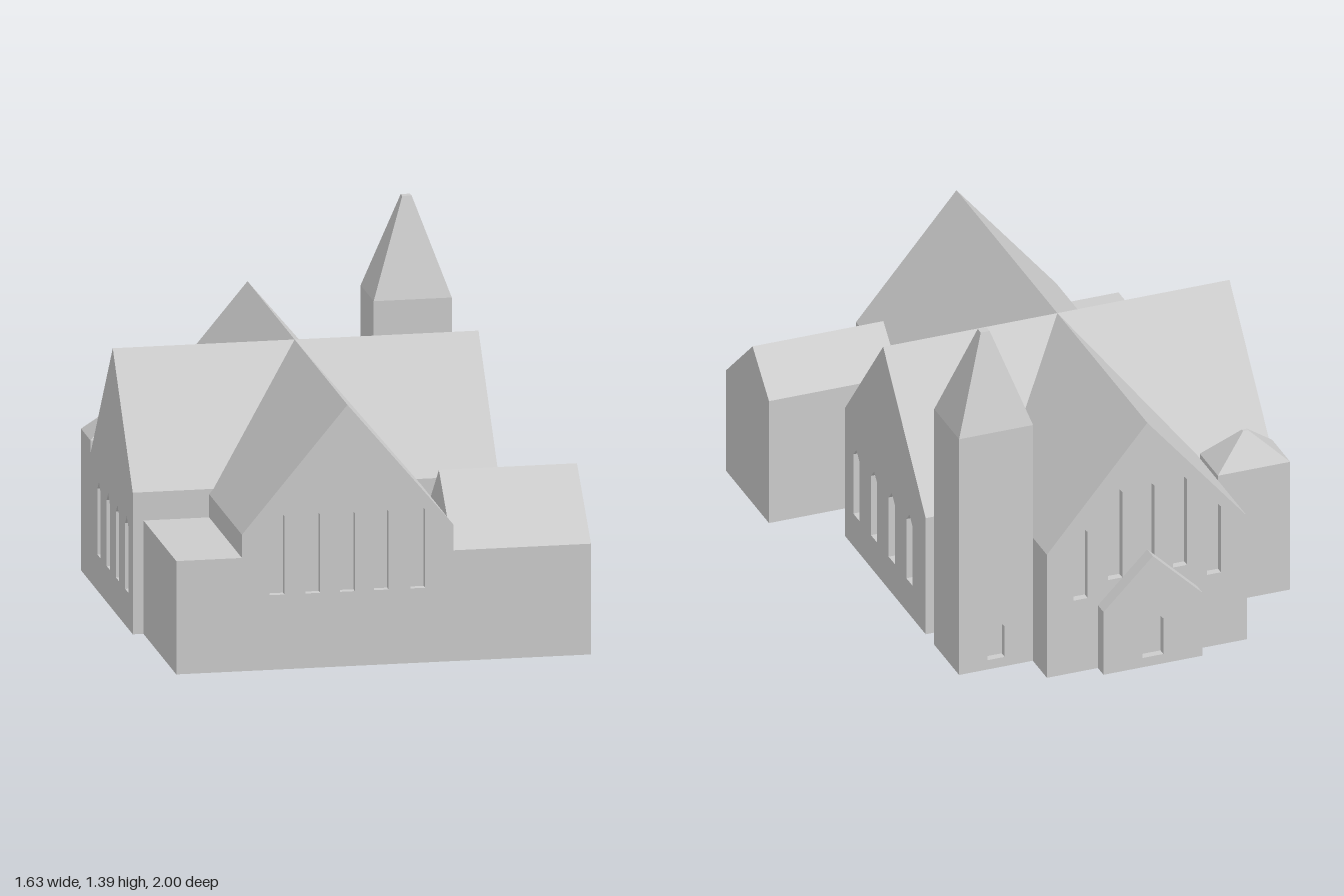
import * as THREE from 'three';

const stone = new THREE.MeshStandardMaterial({ color: 0xcccccc });
stone.name = 'pale stone';
const DEPTH = 0.03; // window recess

function add(parent, name, geometry) {
  const mesh = new THREE.Mesh(geometry, stone);
  mesh.name = name;
  parent.add(mesh);
  return mesh;
}

// Outline of a block with a pitched top
function outline([x0, eave0, ridgeX, ridgeY, x1, eave1]) {
  return [[x0, 0], [x1, 0], [x1, eave1], [ridgeX, ridgeY], [x0, eave0]]
    .map(([x, y]) => new THREE.Vector2(x, y));
}

// Pointed window opening: centre, sill, tip, width
function lancet([x, sill, tip, w]) {
  const h = w / 2, spring = tip - w * 0.55;
  return new THREE.Path([[x - h, sill], [x - h, spring], [x, tip], [x + h, spring], [x + h, sill]]
    .map(([a, b]) => new THREE.Vector2(a, b)));
}

function slab(points, z0, z1, windows = []) {
  const shape = new THREE.Shape(points);
  shape.holes = windows.map(lancet);
  const geometry = new THREE.ExtrudeGeometry(shape, { depth: z1 - z0, bevelEnabled: false });
  return geometry.translate(0, 0, z0);
}

// Solid block with optional pierced walls at its ends, leaving recessed windows
function block(parent, name, points, z0, z1, backWindows = [], frontWindows = []) {
  const group = new THREE.Group();
  group.name = name;
  const a = backWindows.length ? z0 + DEPTH : z0;
  const b = frontWindows.length ? z1 - DEPTH : z1;
  add(group, name + 'Body', slab(points, a, b));
  if (a > z0) add(group, name + 'BackWall', slab(points, z0, a, backWindows));
  if (b < z1) add(group, name + 'FrontWall', slab(points, b, z1, frontWindows));
  parent.add(group);
  return group;
}

function rect(x0, x1, height) {
  return [[x0, 0], [x1, 0], [x1, height], [x0, height]].map(([x, y]) => new THREE.Vector2(x, y));
}

// Four-sided tapering roof with a tiny flat tip
function spire(parent, name, x, z, width, depth, y0, y1, tip) {
  const r = Math.SQRT1_2;
  const geometry = new THREE.CylinderGeometry(r * tip, r, 1, 4).rotateY(Math.PI / 4).toNonIndexed();
  geometry.computeVertexNormals();
  const mesh = add(parent, name, geometry);
  mesh.scale.set(width, y1 - y0, depth);
  mesh.position.set(x, (y0 + y1) / 2, z);
}

export function createModel() {
  const church = new THREE.Group();
  church.name = 'church';

  // Nave with five windows in each gable
  const columns = [-0.39, -0.253, -0.12, 0.01, 0.15];
  const frontWindows = columns.map(x => [x, 0.29, 0.625, 0.057]);
  const backWindows = columns.map((x, i) =>
    i % 4 === 0 ? [x, 0.31, 0.625, 0.057] : [x, 0.37, 0.77, 0.057]);
  block(church, 'nave', outline([-0.525, 0.53, -0.12, 1.015, 0.287, 0.53]),
    -0.943, 1, backWindows, frontWindows);

  // Transept crossing the nave, four windows in each end
  const sideWindows = [-0.245, -0.065, 0.115, 0.295].map(x => [x, 0.14, 0.43, 0.063]);
  block(church, 'transept', outline([-0.362, 0.55, 0.027, 1.015, 0.46, 0.5]),
    -0.818, 0.586, sideWindows, sideWindows).rotation.y = Math.PI / 2;

  // Gabled side hall and flat side aisle at the front
  block(church, 'sideHall', outline([-1, 0.43, -0.727, 0.675, -0.56, 0.525]),
    0.285, 0.815).rotation.y = Math.PI / 2;
  block(church, 'sideAisle', rect(-0.777, -0.525, 0.44), 0.36, 1);

  // Porch at the back
  block(church, 'porch', outline([-0.322, 0.27, -0.12, 0.47, 0.08, 0.27]),
    -1, -0.943, [[-0.12, 0.04, 0.24, 0.085]]);

  // Bell tower and spire
  block(church, 'tower', rect(0.286, 0.586, 1.015), -0.8, -0.547, [[0.436, 0.04, 0.21, 0.07]]);
  spire(church, 'towerSpire', 0.436, -0.6735, 0.3, 0.253, 1.015, 1.39, 0.12);

  // Low corner turret
  block(church, 'turret', rect(-0.818, -0.525, 0.55), -0.645, -0.46);
  spire(church, 'turretRoof', -0.6715, -0.5525, 0.293, 0.185, 0.55, 0.67, 0.07);

  return church;
}
